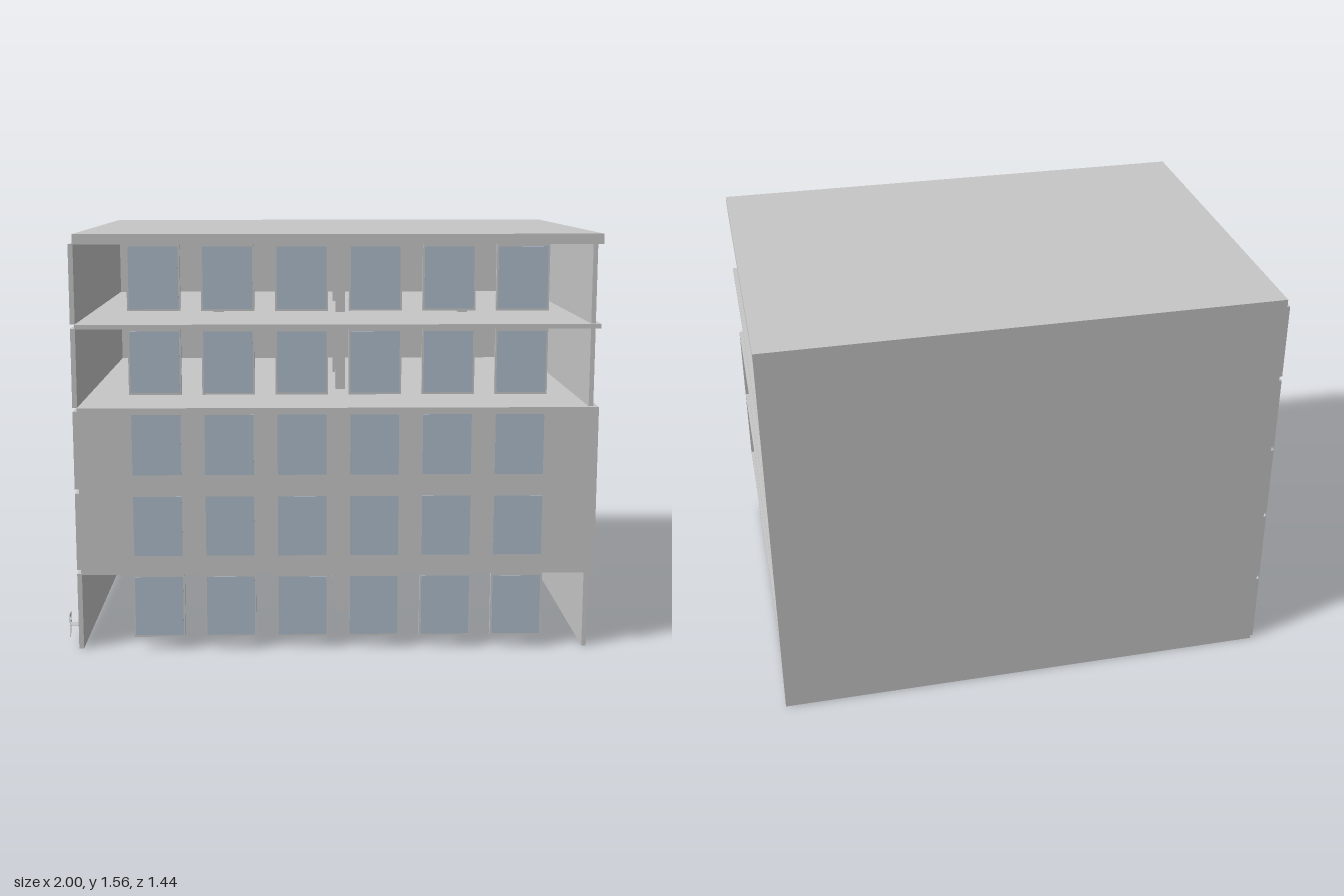
import * as THREE from 'three';

export function createModel() {
  const model = new THREE.Group();
  model.name = 'building';
  const concrete = new THREE.MeshStandardMaterial({ color: 0xc6c6c6 });
  concrete.name = 'concrete grey';
  const glass = new THREE.MeshStandardMaterial({ color: 0xadbbc9 });
  glass.name = 'glass blue';

  // box given by its lower and upper limits on each axis
  function box(name, [x0, x1], [y0, y1], [z0, z1], material = concrete, parent = model) {
    const mesh = new THREE.Mesh(new THREE.BoxGeometry(x1 - x0, y1 - y0, z1 - z0), material);
    mesh.position.set((x0 + x1) / 2, (y0 + y1) / 2, (z0 + z1) / 2);
    mesh.name = name;
    parent.add(mesh);
    return mesh;
  }
  const around = (c, width) => [c - width / 2, c + width / 2];

  const storey = 0.308, clear = 0.292;
  const spanX = [-0.925, 1], spanZ = [-0.72, 0.72];
  const frontZ = [0.703, 0.72];

  // full-height rear wall and roof
  box('backWall', spanX, [0, 1.523], [-0.72, -0.704]);
  box('roof', spanX, [1.523, 1.56], spanZ);

  for (let i = 0; i < 5; i++) {
    const y = i * storey;
    const top = i === 4 ? 1.523 : y + clear;
    const level = new THREE.Group();
    level.name = 'storey' + (i + 1);
    model.add(level);

    // slab above each storey
    if (i < 4) box('floorSlab', spanX, [top, y + storey], spanZ, concrete, level);

    // side walls
    box('rightWall', [-0.943, -0.925], [y, top], [-0.704, 0.703], concrete, level);
    box('leftWall', [0.965, 0.982], [y, top], [-0.704, 0.703], concrete, level);

    // two rows of three columns
    for (const x of [-0.425, 0.057, 0.54])
      for (const z of [-0.24, 0.24])
        box('column', around(x, 0.038), [y, top], around(z, 0.038), concrete, level);

    // closed facade on the second and third storeys, hanging window panels elsewhere
    const closed = i === 1 || i === 2;
    if (closed) box('frontWall', spanX, [y, top], frontZ, concrete, level);
    for (let k = 0; k < 6; k++) {
      const x = -0.635 + k * 0.2686;
      if (!closed) box('windowPanel', around(x, 0.193), [y + 0.05, top], frontZ, concrete, level);
      const gx = around(x, 0.18), gy = [y + 0.057, y + 0.283];
      box('windowGlassOutside', gx, gy, [0.719, 0.7215], glass, level);
      box('windowGlassInside', gx, gy, [0.7015, 0.704], glass, level);
    }
  }

  // small chair standing beside the building
  const chair = new THREE.Group();
  chair.name = 'chair';
  model.add(chair);
  const t = 0.002;
  box('chairSeat', [-1, -0.963], [0.044, 0.046], [0.522, 0.559], concrete, chair);
  for (const z of [0.523, 0.558]) {
    box('chairBackPost', [-1, -1 + t], [0, 0.09], around(z, t), concrete, chair);
    box('chairFrontLeg', [-0.963 - t, -0.963], [0, 0.045], around(z, t), concrete, chair);
  }
  box('chairBackRail', [-1, -1 + t], [0.075, 0.09], [0.522, 0.559], concrete, chair);

  return model;
}
